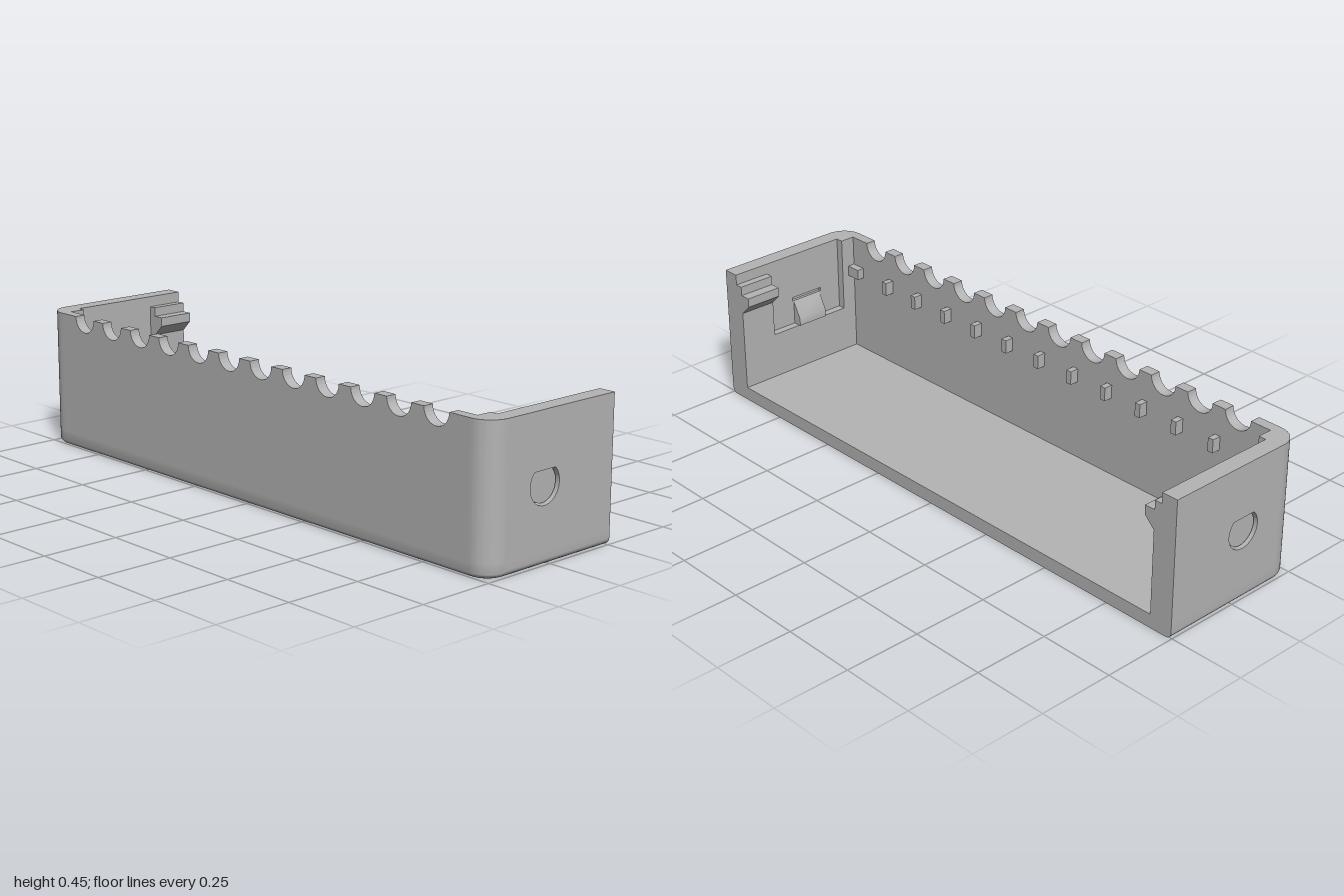
import * as THREE from 'three';
import { toCreasedNormals } from 'three/addons/utils/BufferGeometryUtils.js';

const H = 0.45, FLOOR = 0.045, BACK = -0.255, FRONT = 0.255;
const R = 0.07;        // front corner radius
const FILLET = 0.02;   // bottom edge radius

const shapeOf = pts => new THREE.Shape(pts.map(([x, y]) => new THREE.Vector2(x, y)));

function boxBetween(x0, x1, y0, y1, z0, z1) {
  return new THREE.BoxGeometry(x1 - x0, y1 - y0, z1 - z0)
    .translate((x0 + x1) / 2, (y0 + y1) / 2, (z0 + z1) / 2);
}

// extrude an x,y profile along z
function alongZ(shape, z0, z1) {
  return new THREE.ExtrudeGeometry(shape, { depth: z1 - z0, bevelEnabled: false, curveSegments: 20 })
    .translate(0, 0, z0);
}

// extrude a z,y profile inwards from x1 to x0
function alongX(shape, x0, x1) {
  return new THREE.ExtrudeGeometry(shape, { depth: x1 - x0, bevelEnabled: false, curveSegments: 32 })
    .rotateY(-Math.PI / 2).translate(x1, 0, 0);
}

// mirror to the other side and restore the corner order
function mirrorX(geometry) {
  const g = geometry.index ? geometry.toNonIndexed() : geometry.clone();
  g.scale(-1, 1, 1);
  for (const attr of Object.values(g.attributes)) {
    const n = attr.itemSize, a = attr.array;
    for (let t = 0; t < a.length; t += 3 * n) {
      for (let k = 0; k < n; k++) {
        [a[t + n + k], a[t + 2 * n + k]] = [a[t + 2 * n + k], a[t + n + k]];
      }
    }
  }
  return g;
}

// floor slab: stacked outlines with rounded lower edge, square at the back
function floorGeometry() {
  const outline = inset => {
    const r = R - inset, half = [[1 - inset, BACK]];
    for (let i = 0; i <= 10; i++) {
      const a = (i / 10) * Math.PI / 2;
      half.push([1 - R + r * Math.cos(a), FRONT - R + r * Math.sin(a)]);
    }
    return [...half, ...half.slice().reverse().map(([x, z]) => [-x, z])];
  };
  const rings = [];
  for (let i = 0; i <= 6; i++) {
    const a = (i / 6) * Math.PI / 2;
    rings.push([FILLET * (1 - Math.sin(a)), FILLET * (1 - Math.cos(a))]);
  }
  rings.push([0, FLOOR]);
  const pos = [], idx = [], n = outline(0).length;
  rings.forEach(([inset, y]) => outline(inset).forEach(([x, z]) => pos.push(x, y, z)));
  for (let r = 0; r < rings.length - 1; r++) {
    for (let i = 0; i < n; i++) {
      const a = r * n + i, b = r * n + (i + 1) % n;
      idx.push(a, a + n, b, b, a + n, b + n);
    }
  }
  const low = pos.length / 3, high = low + 1, top = (rings.length - 1) * n;
  pos.push(0, 0, 0, 0, FLOOR, 0);
  for (let i = 0; i < n; i++) {
    const j = (i + 1) % n;
    idx.push(low, i, j, high, top + j, top + i);
  }
  const g = new THREE.BufferGeometry();
  g.setAttribute('position', new THREE.Float32BufferAttribute(pos, 3));
  g.setIndex(idx);
  return g;
}

export function createModel() {
  const model = new THREE.Group();
  model.name = 'openEnclosure';
  const plastic = new THREE.MeshStandardMaterial({ color: 0xb4b4b4 });
  plastic.name = 'grey plastic';

  const add = (name, geometry, parent = model) => {
    const mesh = new THREE.Mesh(toCreasedNormals(geometry, 0.5), plastic);
    mesh.name = name;
    parent.add(mesh);
  };
  const addPair = (name, geometry) => {
    add(name + 'Left', geometry);
    add(name + 'Right', mirrorX(geometry));
  };

  add('floor', floorGeometry());

  // front wall with a row of cable notches in the top edge
  const count = 12, pitch = 1.6 / (count - 1), notchR = 0.048;
  const front = new THREE.Shape();
  front.moveTo(-0.92, FLOOR);
  front.lineTo(-0.92, H);
  for (let i = 0; i < count; i++) {
    const x = -0.8 + i * pitch;
    front.lineTo(x - notchR, H);
    front.absarc(x, H, notchR, Math.PI, 2 * Math.PI, false);
  }
  front.lineTo(0.92, H);
  front.lineTo(0.92, FLOOR);
  add('frontWall', alongZ(front, 0.22, FRONT));

  // small cable nubs between the notches
  const nubs = new THREE.Group();
  nubs.name = 'cableNubs';
  model.add(nubs);
  for (let i = 0; i < count - 1; i++) {
    const x = -0.8 + (i + 0.5) * pitch;
    add('nub', boxBetween(x - 0.01, x + 0.01, 0.31, 0.355, 0.19, 0.222), nubs);
  }
  addPair('cornerNub', boxBetween(0.87, 0.922, 0.315, 0.35, 0.195, 0.222));

  // rounded front corner posts
  const corner = new THREE.Shape();
  corner.moveTo(0.92, -(FRONT - R));
  corner.lineTo(1, -(FRONT - R));
  corner.absarc(1 - R, -(FRONT - R), R, 0, -Math.PI / 2, true);
  corner.lineTo(0.92, -FRONT);
  const cornerGeo = new THREE.ExtrudeGeometry(corner, { depth: H - FLOOR, bevelEnabled: false, curveSegments: 10 })
    .rotateX(-Math.PI / 2).translate(0, FLOOR, 0);
  addPair('frontCorner', cornerGeo);

  // outer side wall with a teardrop hole
  const cz = 0.03, cy = 0.235, hr = 0.06, zEnd = FRONT - R;
  const side = shapeOf([[BACK, FLOOR], [zEnd, FLOOR], [zEnd, H], [BACK, H]]);
  const drop = new THREE.Path();
  drop.moveTo(cz, cy + hr * Math.SQRT2);
  drop.absarc(cz, cy, hr, Math.PI * 0.75, Math.PI * 2.25, false);
  drop.closePath();
  side.holes.push(drop);
  addPair('sideWall', alongX(side, 0.955, 1));

  // thin backing behind the hole, with a slit above the push disc
  const backing = shapeOf([[-0.13, 0.2], [zEnd, 0.2], [zEnd, H], [-0.13, H]]);
  backing.holes.push(shapeOf([[-0.03, 0.283], [0.09, 0.283], [0.09, 0.295], [-0.03, 0.295]]));
  addPair('recessPanel', alongX(backing, 0.945, 0.955));

  // thicker lower wall and the post closing the recess
  addPair('lowerWall', boxBetween(0.92, 0.955, FLOOR, 0.2, -0.13, zEnd));
  addPair('recessPost', boxBetween(0.92, 0.955, 0.2, H, 0.17, zEnd));

  // push disc and its sloped catch
  const disc = new THREE.CylinderGeometry(0.055, 0.055, 0.035, 48)
    .rotateZ(Math.PI / 2).translate(0.9725, cy, cz);
  addPair('pushDisc', disc);
  const wedge = shapeOf([[0.946, 0.2], [0.915, 0.2], [0.915, 0.225], [0.946, 0.283]]);
  addPair('catch', alongZ(wedge, -0.025, 0.085));

  // stepped rail at the rear of each side
  const rail = shapeOf([
    [0.955, FLOOR], [0.92, FLOOR], [0.92, 0.32], [0.885, 0.355], [0.885, 0.385],
    [0.92, 0.385], [0.92, 0.415], [0.945, 0.415], [0.945, H], [0.955, H],
  ]);
  addPair('rearRail', alongZ(rail, BACK, -0.13));

  return model;
}
